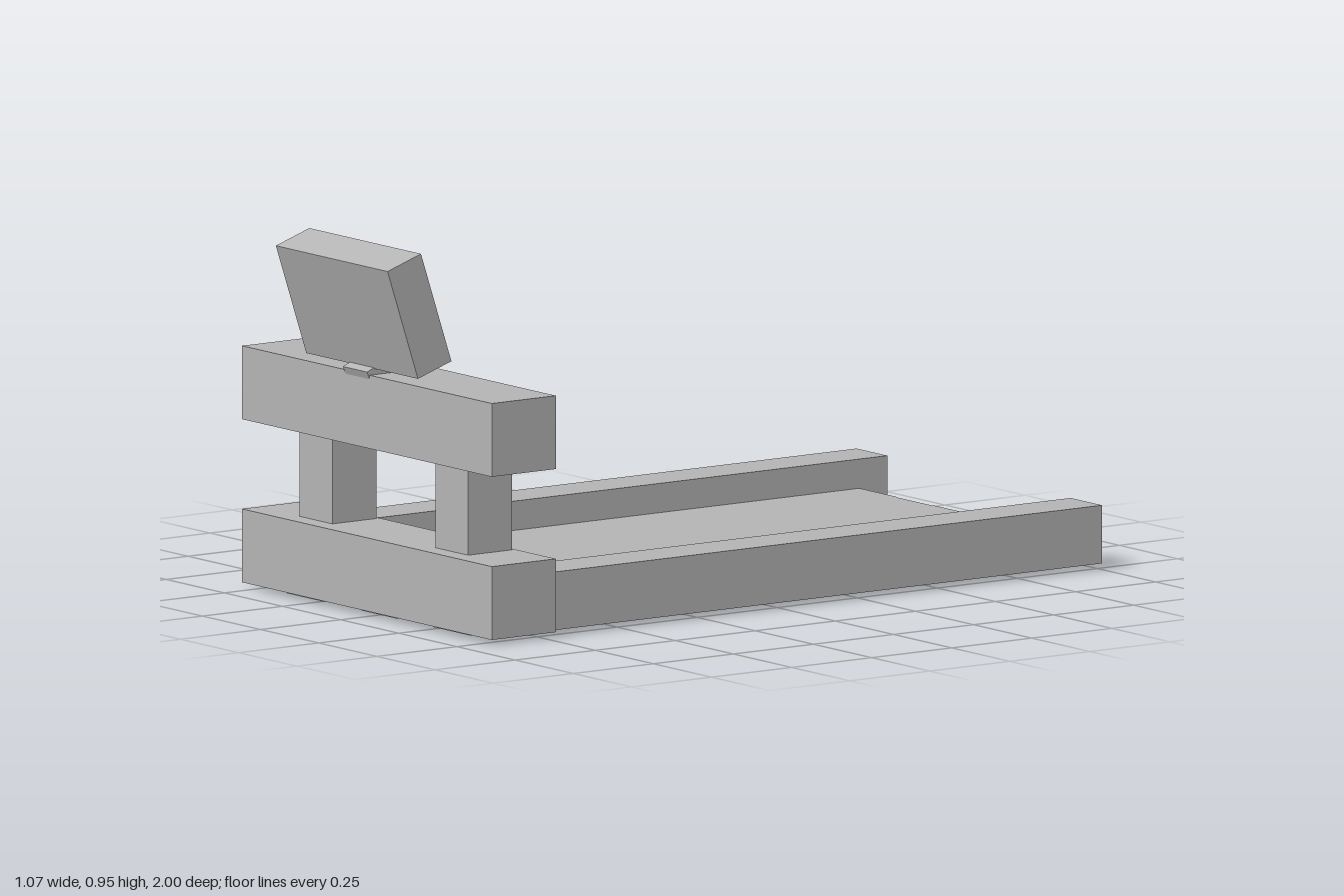
import * as THREE from 'three';

export function createModel() {
  const model = new THREE.Group();
  model.name = 'laneWithConsole';
  const grey = new THREE.MeshStandardMaterial({ color: 0xb4b4b4 });
  grey.name = 'plain grey';

  // Box given by its limits on each axis
  function block(name, [x0, x1], [y0, y1], [z0, z1], parent = model) {
    const mesh = new THREE.Mesh(new THREE.BoxGeometry(x1 - x0, y1 - y0, z1 - z0), grey);
    mesh.position.set((x0 + x1) / 2, (y0 + y1) / 2, (z0 + z1) / 2);
    mesh.name = name;
    parent.add(mesh);
    return mesh;
  }

  // Five lane planks, alternately long and short
  const seams = [-0.403, -0.243, -0.083, 0.073, 0.225, 0.385];
  for (let i = 0; i < 5; i++) {
    const long = i % 2 === 0;
    block('lanePlank' + (i + 1), [seams[i], seams[i + 1]], [0, 0.09],
      long ? [-0.913, 0.875] : [-0.909, 0.716]);
  }

  // Side rails
  block('rightRail', [-0.535, -0.403], [0.016, 0.165], [-1, 0.713]);
  block('leftRail', [0.385, 0.52], [0.016, 0.165], [-1, 0.713]);

  // Front frame: two beams joined by two posts
  block('lowerBeam', [-0.537, 0.537], [0.014, 0.202], [0.718, 0.918]);
  block('upperBeam', [-0.537, 0.537], [0.432, 0.62], [0.718, 0.918]);
  block('rightPost', [-0.362, -0.22], [0.202, 0.432], [0.728, 0.866]);
  block('leftPost', [0.223, 0.363], [0.202, 0.432], [0.728, 0.866]);

  // Neck that carries the monitor, tilted forward
  const neck = block('monitorNeck', [-0.092, 0.012], [0.607, 0.659], [0.768, 0.922]);
  neck.position.y = 0.635;
  neck.rotation.x = 0.4;

  // Tilted monitor with its screen facing the lane
  const monitor = new THREE.Group();
  monitor.name = 'monitor';
  monitor.position.set(-0.04, 0.795, 0.899);
  monitor.rotation.x = 0.322;
  model.add(monitor);
  block('monitorCase', [-0.24, 0.24], [-0.15, 0.15], [-0.055, 0.055], monitor);
  block('monitorScreen', [-0.197, 0.2], [-0.125, 0.13], [-0.063, -0.054], monitor);

  return model;
}
